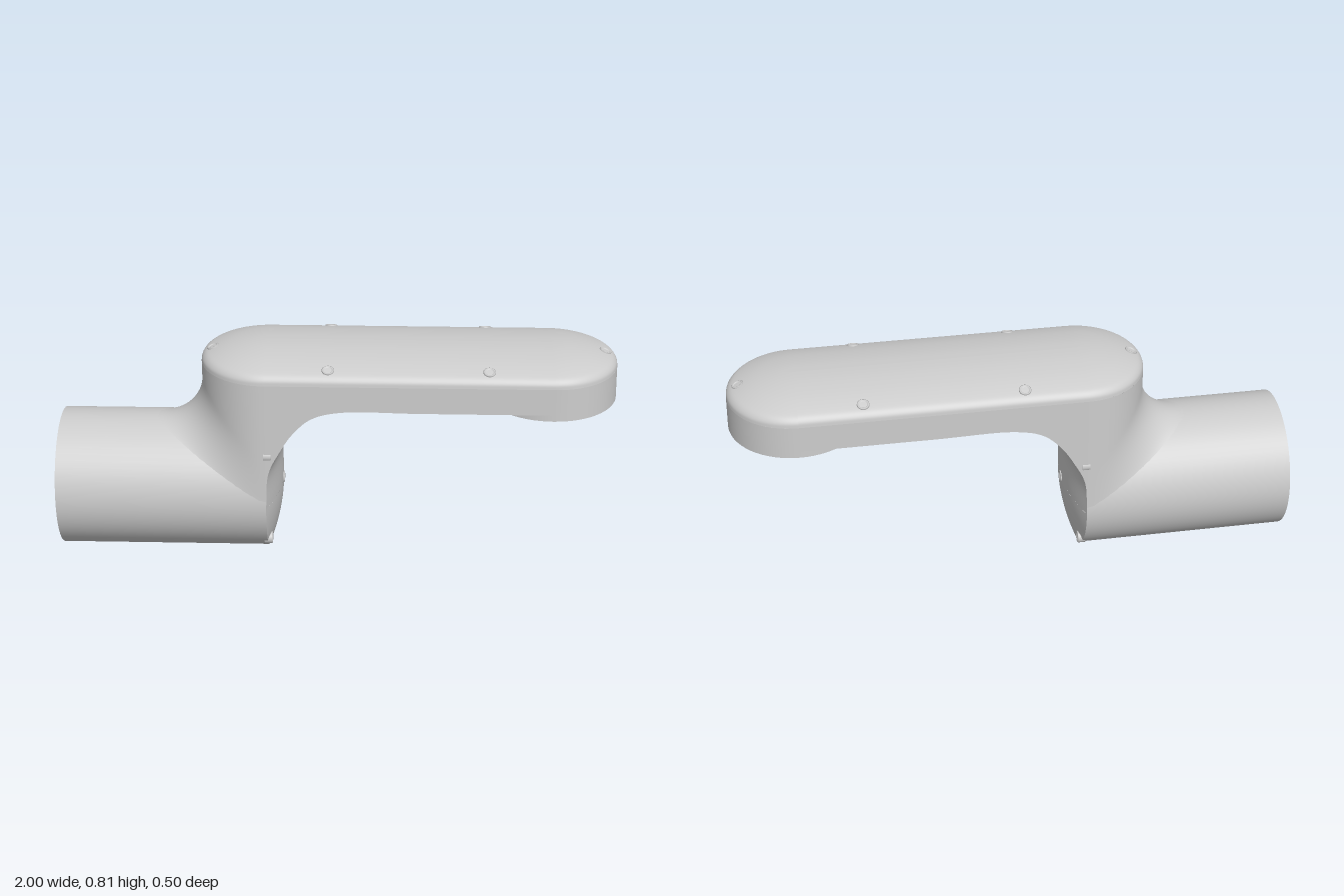
import * as THREE from 'three';
import { ParametricGeometry } from 'three/addons/geometries/ParametricGeometry.js';

const R = 0.25;        // barrel radius
const X0 = -0.245;     // centre of the arm's inner round end
const X1 = 0.76;       // centre of the arm's outer round end
const RIM = 0.73;      // height where the lid meets the walls
const FILLET = 0.165;

const mat = new THREE.MeshStandardMaterial({ color: 0xcccccc, side: THREE.DoubleSide });

// half width of neck and arm, tapering slightly upward
const halfWidth = (y) => 0.249 - 0.025 * (y - 0.25);

const curve = (pts) =>
  new THREE.CatmullRomCurve3(pts.map(([x, y]) => new THREE.Vector3(x, y, 0)), false, 'centripetal');

export function createModel() {
  const group = new THREE.Group();

  const add = (name, geometry) => {
    const mesh = new THREE.Mesh(geometry, mat);
    mesh.name = name;
    group.add(mesh);
    return mesh;
  };
  const surface = (name, fn, nu, nv) => {
    const g = new ParametricGeometry(fn, nu, nv);
    g.computeVertexNormals();
    return add(name, g);
  };

  // horizontal barrel, closed at its far end
  const barrelEnd = add('barrelEnd', new THREE.CircleGeometry(R, 64));
  barrelEnd.rotation.y = -Math.PI / 2;
  barrelEnd.position.set(-1, R, 0);
  const barrel = add('barrel', new THREE.CylinderGeometry(R, R, X0 + 1, 64, 1, true));
  barrel.rotation.z = Math.PI / 2;
  barrel.position.set((X0 - 1) / 2, R, 0);

  // round back of the neck, flowing into the barrel with a concave fillet
  surface('neckBack', (u, v, p) => {
    const a = (u - 0.5) * Math.PI;
    const c = Math.max(0, Math.cos(a));
    const foot = R + R * c;
    const phi = Math.min(1, v / 0.6) * Math.PI / 2;
    const off = FILLET * (1 - Math.sin(phi));
    let y = foot + FILLET * (1 - Math.cos(phi));
    if (v > 0.6) y += (RIM - y) * (v - 0.6) / 0.4;
    p.set(X0 - (0.237 + off) * c, y, halfWidth(y) * Math.sin(a));
  }, 40, 30);

  // crowned front face, sweeping up into the underside of the arm
  const middle = curve([[-0.195, 0.25], [-0.193, 0.4], [-0.165, 0.485], [-0.1, 0.555],
    [-0.03, 0.595], [0.08, 0.616], [0.3, 0.617], [X1, 0.617]]);
  const edge = curve([[X0, 0.25], [-0.235, 0.39], [-0.195, 0.475], [-0.15, 0.545],
    [-0.085, 0.605], [0.01, 0.632], [0.3, 0.633], [X1, 0.633]]);
  const a = new THREE.Vector3(), b = new THREE.Vector3();
  surface('frontAndUnderside', (u, v, p) => {
    const t = 1 - 2 * u;
    middle.getPoint(v, a);
    edge.getPoint(v, b);
    p.copy(a).lerp(b, t * t);
    p.z = t * halfWidth(b.y);
  }, 20, 56);

  // lower half of the crowned front face
  surface('frontLower', (u, v, p) => {
    const ang = Math.PI * (1 + u);
    p.set(-0.195 - 0.05 * v * v, R + R * v * Math.sin(ang), R * v * Math.cos(ang));
  }, 40, 10);

  // flat side walls of neck and arm
  for (const side of [1, -1]) {
    const outline = edge.getPoints(56).map((q) => new THREE.Vector2(q.x, q.y));
    outline.push(new THREE.Vector2(X1, RIM), new THREE.Vector2(X0, RIM));
    const g = new THREE.ShapeGeometry(new THREE.Shape(outline));
    const pos = g.attributes.position;
    for (let i = 0; i < pos.count; i++) pos.setZ(i, side * halfWidth(pos.getY(i)));
    if (side < 0) g.setIndex(Array.from(g.index.array).reverse());
    g.computeVertexNormals();
    add(side > 0 ? 'leftWall' : 'rightWall', g);
  }

  // round pad at the outer end of the arm
  const pad = add('endPad', new THREE.CylinderGeometry(0.237, 0.24, RIM - 0.61, 64));
  pad.position.set(X1, (RIM + 0.61) / 2, 0);

  // domed lid: stadium rings following a crown profile
  const crown = curve([[0, 0.806], [0.05, 0.804], [0.1, 0.798], [0.15, 0.788],
    [0.2, 0.772], [0.222, 0.761], [0.234, 0.746], [0.237, RIM]]);
  surface('lid', (u, v, p) => {
    crown.getPoint(v, a);
    const far = u >= 0.5 - 1e-9;
    const k = Math.min(1, (far ? u - 0.5 : u) / 0.45);
    const ang = Math.PI * (k - 0.5 + (far ? 1 : 0));
    // the last step of each half runs along the straight side
    const run = Math.max(0, ((far ? u - 0.5 : u) - 0.45) / 0.05);
    const from = far ? X0 : X1, to = far ? X1 : X0;
    p.set(from + (to - from) * run + a.x * Math.cos(ang), a.y, a.x * Math.sin(ang));
  }, 80, 28);

  // small countersunk screws
  const screwGeo = new THREE.LatheGeometry([[0.022, -0.025], [0.022, 0.002], [0.019, 0.004],
    [0.015, 0.003], [0.013, -0.001], [0, -0.001]].map(([x, y]) => new THREE.Vector2(x, y)), 20);
  const screw = (name, x, y, z, dir) => {
    const m = add(name, screwGeo);
    m.position.set(x, y, z);
    m.quaternion.setFromUnitVectors(new THREE.Vector3(0, 1, 0), dir.normalize());
  };
  const tilt = 0.38;
  screw('lidScrew', X0 - 0.196, 0.773, 0, new THREE.Vector3(-tilt, 1, 0));
  screw('lidScrew', X1 + 0.193, 0.774, 0, new THREE.Vector3(tilt, 1, 0));
  for (const s of [1, -1]) {
    for (const x of [-0.025, 0.535]) screw('lidScrew', x, 0.774, s * 0.195, new THREE.Vector3(0, 1, s * tilt));
    screw('frontScrew', -0.228, 0.455, s * 0.225, new THREE.Vector3(1, 0, 0));
    screw('frontScrew', -0.232, 0.086, s * 0.165, new THREE.Vector3(1, 0, 0));
  }
  screw('frontSocket', -0.195, R, 0, new THREE.Vector3(1, 0, 0));

  return group;
}
